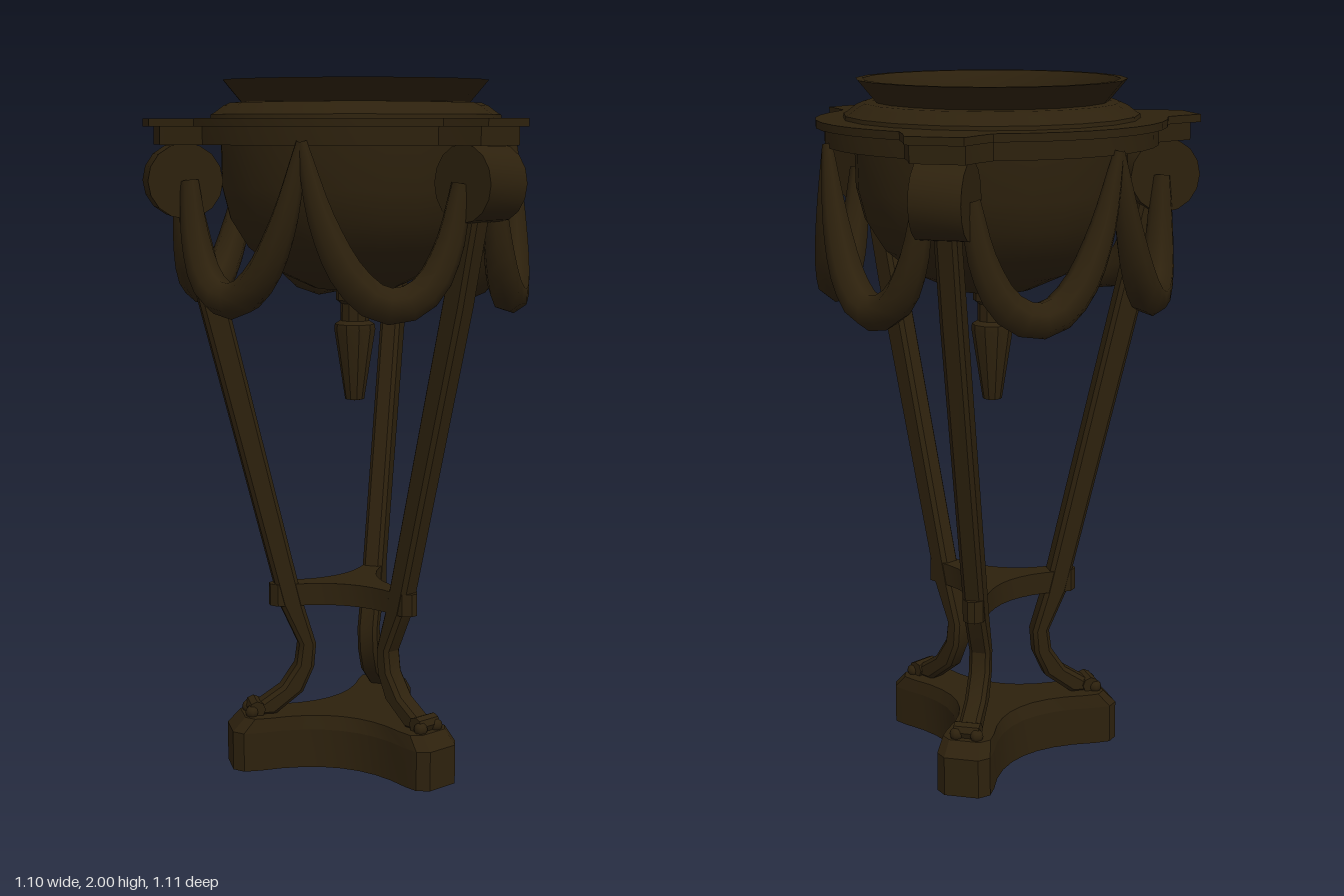
import * as THREE from 'three';
import { toCreasedNormals } from 'three/addons/utils/BufferGeometryUtils.js';

const V2 = (p) => new THREE.Vector2(p[0], p[1]);
const LEGS = [Math.PI / 3, Math.PI, -Math.PI / 3];

export function createModel() {
  const bronze = new THREE.MeshStandardMaterial({ color: 0x2d210d });
  bronze.name = 'dark bronze';

  const model = new THREE.Group();
  const stand = new THREE.Group();
  stand.name = 'tripodStand';
  stand.position.x = 0.055;
  model.add(stand);

  const add = (parent, name, geometry, crease = 0.6) => {
    const mesh = new THREE.Mesh(toCreasedNormals(geometry, crease), bronze);
    mesh.name = name;
    parent.add(mesh);
    return mesh;
  };
  const lathe = (points, segments) => new THREE.LatheGeometry(points.map(V2), segments);

  // Horizontal slab from a plan shape; the top can taper inward
  const slab = (shape, y0, y1, taper = 1) => {
    const g = new THREE.ExtrudeGeometry(shape, { depth: y1 - y0, bevelEnabled: false, curveSegments: 8 });
    g.rotateX(-Math.PI / 2).translate(0, y0, 0);
    const p = g.attributes.position;
    for (let i = 0; i < p.count; i++) {
      if (p.getY(i) > y1 - 1e-4) p.setXYZ(i, p.getX(i) * taper, p.getY(i), p.getZ(i) * taper);
    }
    g.computeVertexNormals();
    return g;
  };
  const polar = (a, r, t) => [r * Math.cos(a) - t * Math.sin(a), r * Math.sin(a) + t * Math.cos(a)];

  // Three-armed plan with concave sides and chamfered tips
  const threeArms = (tip, half, chamfer, armStart, valley) => {
    const s = new THREE.Shape();
    for (let i = 0; i < 3; i++) {
      const a = Math.PI / 3 + (i * 2 * Math.PI) / 3;
      const pts = [[armStart, -half], [tip - chamfer, -half], [tip, -half + chamfer],
        [tip, half - chamfer], [tip - chamfer, half], [armStart, half]].map(([r, t]) => polar(a, r, t));
      pts.forEach((p, k) => (i + k === 0 ? s.moveTo(...p) : s.lineTo(...p)));
      const b = a + Math.PI / 3;
      const next = polar(a + (2 * Math.PI) / 3, armStart, -half);
      const chord = ((pts[5][0] + next[0]) * Math.cos(b) + (pts[5][1] + next[1]) * Math.sin(b)) / 2;
      s.quadraticCurveTo(...polar(b, 2 * valley - chord, 0), ...next);
    }
    return s;
  };

  // Base and stretcher
  const plinth = threeArms(0.375, 0.078, 0.028, 0.3, 0.125);
  add(stand, 'base', slab(plinth, 0, 0.115), 0.5);
  add(stand, 'baseBevel', slab(plinth, 0.115, 0.155, 0.9), 0.5);
  add(stand, 'stretcher', slab(threeArms(0.255, 0.03, 0.02, 0.2, 0.072), 0.48, 0.545), 0.5);

  // Rim plate: a ring with a tab above every leg
  const rimPlan = (k) => {
    const s = new THREE.Shape();
    for (let i = 0; i < 3; i++) {
      const a = Math.PI / 3 + (i * 2 * Math.PI) / 3;
      const tab = [[0.48, -0.125], [0.535, -0.1], [0.598, -0.078], [0.598, 0.078], [0.535, 0.1], [0.48, 0.125]];
      tab.forEach(([r, t], j) => {
        const [x, y] = polar(a, r * k, t * k);
        if (i + j === 0) s.moveTo(x, y); else s.lineTo(x, y);
      });
      for (let j = 1; j < 9; j++) s.lineTo(...polar(a + 0.26 + (j / 9) * (2 * Math.PI / 3 - 0.52), 0.492 * k, 0));
    }
    s.closePath();
    s.holes.push(new THREE.Path().absarc(0, 0, 0.34, 0, Math.PI * 2, true));
    return s;
  };
  add(stand, 'rimMoulding', slab(rimPlan(0.95), 1.82, 1.87));
  add(stand, 'rimPlate', slab(rimPlan(1), 1.87, 1.892));

  // Bowl, flared collar with basin, and pendant finial
  add(stand, 'bowl', lathe([[0, 1.4], [0.12, 1.412], [0.225, 1.46], [0.31, 1.53], [0.36, 1.61],
    [0.383, 1.7], [0.385, 1.83]], 24));
  add(stand, 'collarAndBasin', lathe([[0.418, 1.885], [0.415, 1.903], [0.405, 1.908], [0.38, 1.927], [0.36, 1.936],
    [0.328, 1.938], [0.38, 2], [0.36, 2], [0.323, 1.94], [0.315, 1.765], [0.235, 1.7], [0, 1.695]], 20));
  add(stand, 'pendant', lathe([[0, 1.08], [0.028, 1.085], [0.06, 1.29], [0.058, 1.305], [0.042, 1.315],
    [0.042, 1.365], [0.055, 1.375], [0.055, 1.42]], 10));

  // Leg outline (radius, height), extruded across its width
  const outline = [[0.525, 1.7], [0.456, 1.38], [0.243, 0.55], [0.225, 0.48], [0.17, 0.36], [0.178, 0.3], [0.222, 0.235],
    [0.305, 0.18], [0.305, 0.15], [0.245, 0.15], [0.16, 0.215], [0.126, 0.29], [0.12, 0.36],
    [0.157, 0.48], [0.174, 0.55], [0.376, 1.38], [0.455, 1.7]];
  const legGeometry = () => new THREE.ExtrudeGeometry(new THREE.Shape(outline.map(V2)), {
    depth: 0.04, bevelEnabled: true, bevelThickness: 0.011, bevelSize: 0.011, bevelOffset: -0.011, bevelSegments: 1,
  }).translate(0, 0, -0.02);

  // Swag from a scroll face up to the hook midway between two legs
  const swagHeights = [1.72, 1.56, 1.445, 1.402, 1.407, 1.475, 1.62, 1.83];
  const swagSteps = [0, 0.07, 0.2, 0.36, 0.52, 0.7, 0.87, 1];
  const swagGeometry = (side) => {
    const curve = new THREE.CatmullRomCurve3(swagSteps.map((t, i) => {
      const a = side * (0.13 + t * (Math.PI / 3 - 0.13));
      const r = 0.49 - 0.105 * t + 0.083 * t * t;
      return new THREE.Vector3(r * Math.cos(a), swagHeights[i], r * Math.sin(a));
    }));
    const n = 18, sides = 7, g = new THREE.TubeGeometry(curve, n, 1, sides);
    const p = g.attributes.position, v = new THREE.Vector3();
    for (let i = 0; i < p.count; i++) {
      const t = Math.floor(i / (sides + 1)) / n;
      const c = curve.getPointAt(t);
      v.fromBufferAttribute(p, i).sub(c).multiplyScalar(0.015 + 0.03 * Math.sin(Math.PI * t) + 0.012 * (1 - t)).add(c);
      p.setXYZ(i, v.x, v.y, v.z);
    }
    g.computeVertexNormals();
    return g;
  };

  LEGS.forEach((angle) => {
    const leg = new THREE.Group();
    leg.name = 'legAssembly';
    leg.rotation.y = angle;
    stand.add(leg);
    add(leg, 'leg', legGeometry(), 0.5);
    add(leg, 'scroll', new THREE.CylinderGeometry(0.105, 0.105, 0.14, 16).rotateX(Math.PI / 2).translate(0.497, 1.72, 0));
    add(leg, 'footScroll', new THREE.CylinderGeometry(0.025, 0.025, 0.075, 8).rotateX(Math.PI / 2).translate(0.3, 0.172, 0));
    for (const side of [-1, 1]) {
      add(leg, 'swag', swagGeometry(side), 1);
      add(leg, 'toe', new THREE.SphereGeometry(0.02, 8, 6).translate(0.315, 0.165, side * 0.03), 1);
    }
  });
  return model;
}
